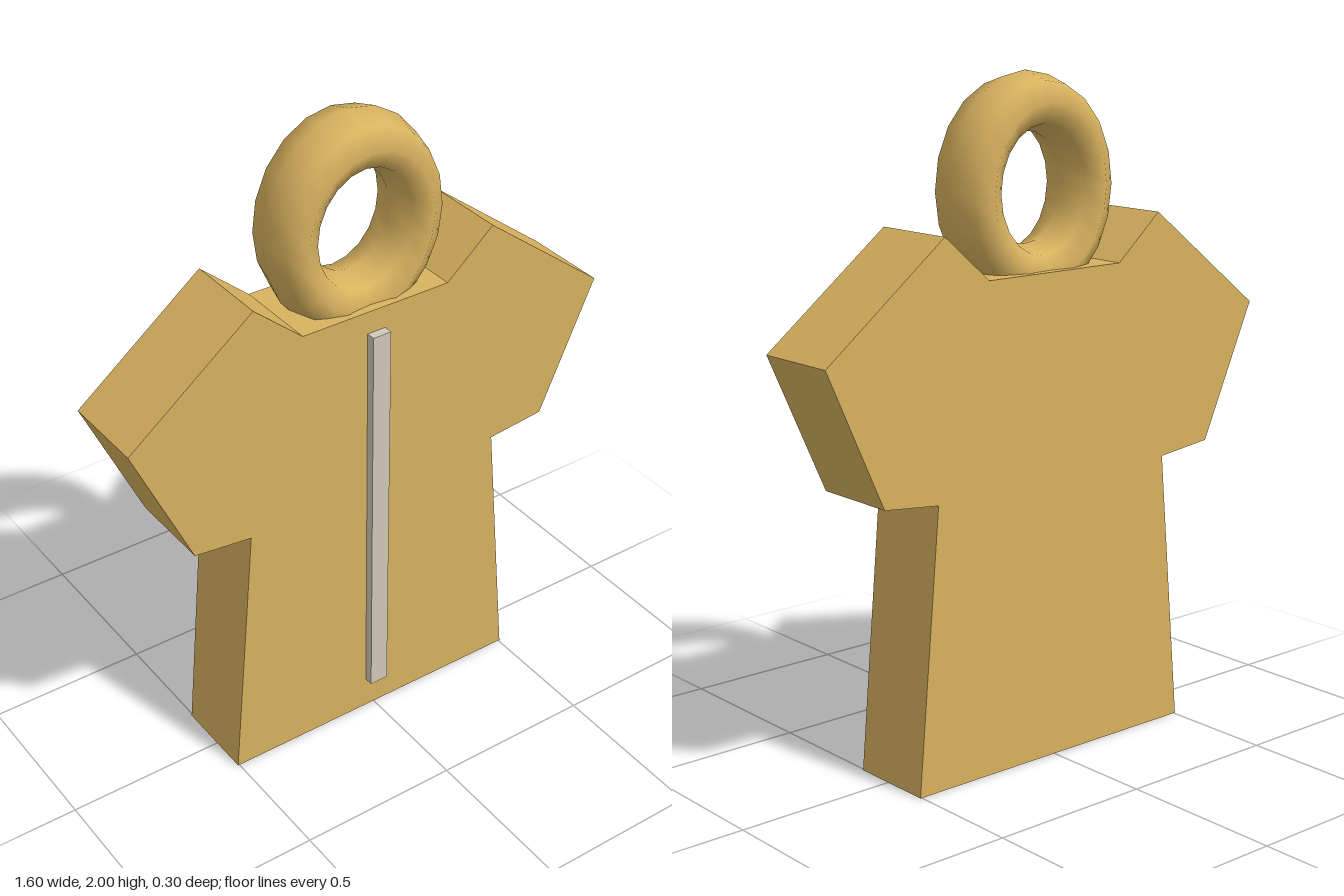
import * as THREE from 'three';

export function createModel() {
  const group = new THREE.Group();
  const gold = new THREE.MeshStandardMaterial({ name: 'gold', color: 0xd8b25f });
  const silver = new THREE.MeshStandardMaterial({ name: 'silver', color: 0xd2c9b9 });

  const add = (name, geometry, material, x, y, z) => {
    const mesh = new THREE.Mesh(geometry, material);
    mesh.name = name;
    mesh.position.set(x, y, z);
    group.add(mesh);
    return mesh;
  };

  // Shirt-shaped slab: right half outline, mirrored for the other side
  const half = [[0.505, 0], [0.43, 0.84], [0.615, 0.86], [0.8, 1.27], [0.4, 1.58], [0.245, 1.445]];
  const mirrored = half.map(([x, y]) => [-x, y]).reverse();
  const outline = [...half, ...mirrored].map(([x, y]) => new THREE.Vector2(x, y));
  const shirt = new THREE.ExtrudeGeometry(new THREE.Shape(outline), { depth: 0.27, bevelEnabled: false });
  add('shirtBody', shirt, gold, 0, 0, -0.15);

  // Hanging ring, an oval torus sunk into the neckline
  const ring = add('hangingRing', new THREE.TorusGeometry(1, 0.345, 8, 20), gold, 0, 1.67, -0.015);
  ring.scale.set(0.2085, 0.2455, 0.34);

  // Raised strip down the front
  add('frontStrip', new THREE.BoxGeometry(0.06, 1.27, 0.03), silver, 0, 1.24 - 0.5, 0.133);

  return group;
}
